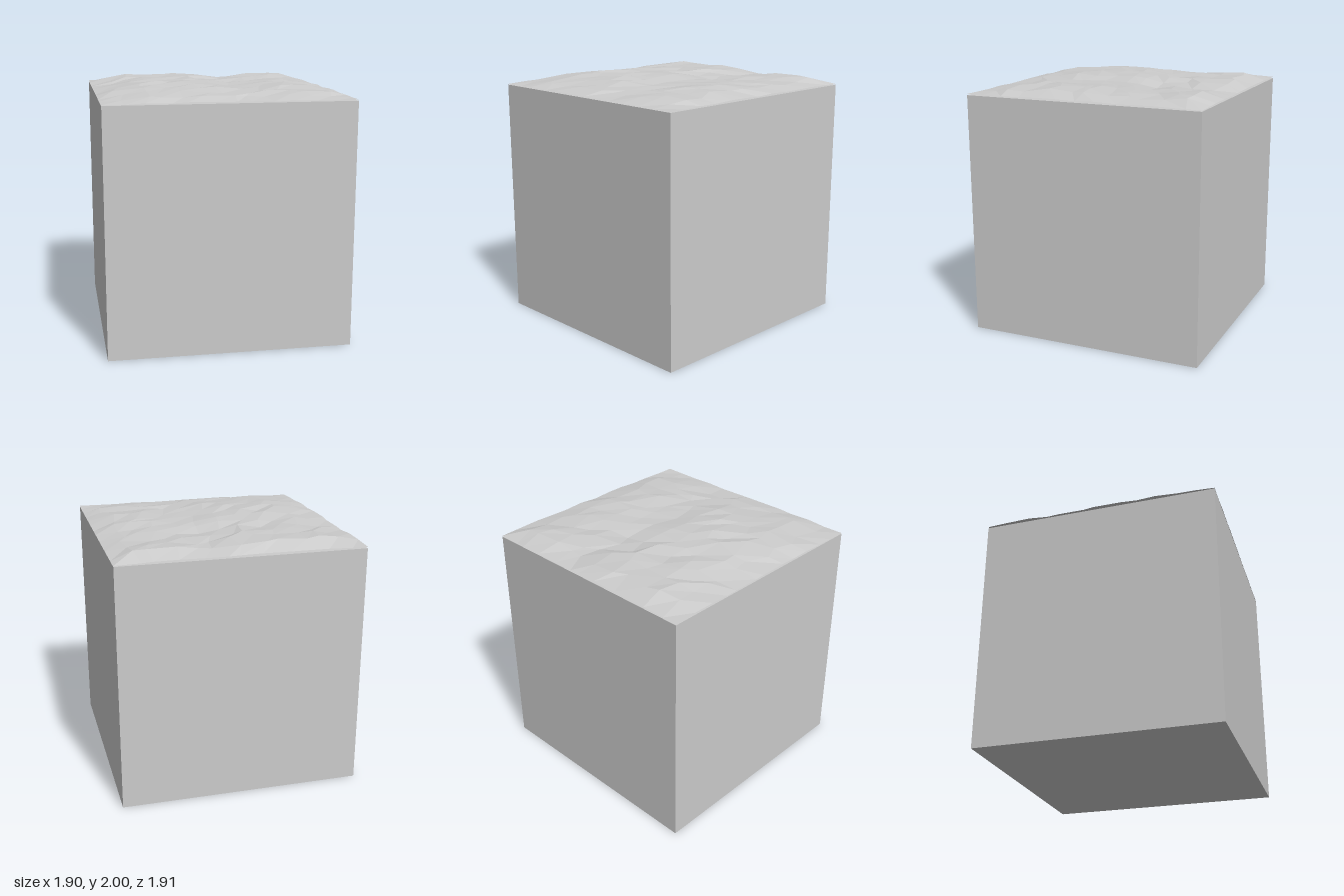
import * as THREE from 'three';

const W = 1.89, D = 1.895, H = 1.912, ZC = 0.0075, SEG = 12;

// Crest heights (0..1) along each axis, evenly spaced from edge to edge
const alongX = [0.5, 0.6, 0.98, 0.88, 1.0, 0.88, 0.5, 0.7, 0.8, 0.65, 0.35];
const alongZ = [0.55, 1.0, 0.85, 0.68, 0.8, 0.93, 1.0, 0.97, 0.8, 0.5, 0.22];

function sample(list, t) {
  const f = THREE.MathUtils.clamp(t, 0, 1) * (list.length - 1);
  const i = Math.min(Math.floor(f), list.length - 2);
  return THREE.MathUtils.lerp(list[i], list[i + 1], f - i);
}

function seeded(seed) {
  let s = seed;
  return () => (s = (s * 16807) % 2147483647) / 2147483647;
}

// Rough faceted sheet: a grid shifted sideways at random and raised by the two profiles
function terrainGeometry() {
  const geo = new THREE.PlaneGeometry(W, D, SEG, SEG).rotateX(-Math.PI / 2);
  const p = geo.attributes.position;
  const rand = seeded(4217);
  const cell = W / SEG;
  for (let i = 0; i < p.count; i++) {
    const col = i % (SEG + 1), row = Math.floor(i / (SEG + 1));
    const sideX = col === 0 || col === SEG, sideZ = row === 0 || row === SEG;
    const jx = (rand() - 0.5) * cell * 0.65, jz = (rand() - 0.5) * cell * 0.65, n = rand();
    let x = p.getX(i), z = p.getZ(i);
    if (!sideX) x += jx;
    if (!sideZ) z += jz;
    // Rim bulges slightly past the block at the back and sides
    if (sideX && !sideZ) x += Math.sign(x) * 0.006 * n;
    if (row === 0 && !sideX) z -= 0.014 * n * n;
    const crest = sample(alongX, x / W + 0.5) * sample(alongZ, z / D + 0.5);
    const rim = sideX || sideZ ? 0.4 : 1;
    const y = H + 0.003 + 0.078 * crest * rim + (n - 0.4) * 0.024 * rim;
    p.setXYZ(i, x, THREE.MathUtils.clamp(y, H + 0.003, 2), z);
  }
  geo.computeVertexNormals();
  return geo;
}

export function createModel() {
  const model = new THREE.Group();
  model.name = 'groundBlock';

  // Solid block
  const block = new THREE.Mesh(
    new THREE.BoxGeometry(W, H, D),
    new THREE.MeshStandardMaterial({ color: 0xcccccc, flatShading: true })
  );
  block.name = 'block';
  block.position.set(0, H / 2, ZC);

  // Uneven ground on top
  const terrain = new THREE.Mesh(
    terrainGeometry(),
    new THREE.MeshStandardMaterial({ color: 0xcccccc, flatShading: true, side: THREE.DoubleSide })
  );
  terrain.name = 'terrainSurface';
  terrain.position.z = ZC;

  model.add(block, terrain);
  return model;
}
